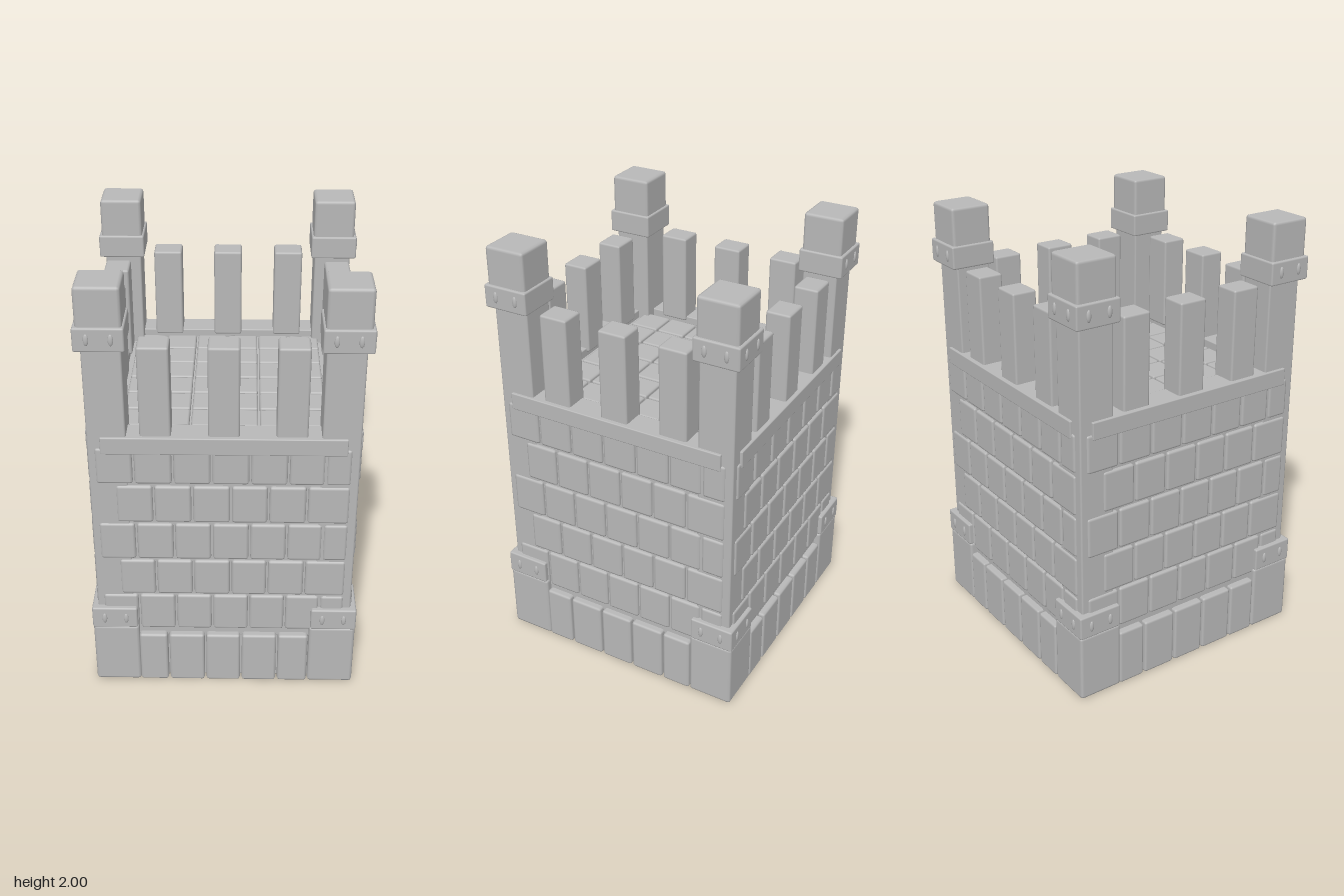
import * as THREE from 'three';
import { RoundedBoxGeometry } from 'three/addons/geometries/RoundedBoxGeometry.js';

const stone = new THREE.MeshStandardMaterial({ color: 0xb8b8b8 });
stone.name = 'grey stone';

// Softly bevelled block given by its minimum and maximum on each axis
function block(parent, name, [x0, x1], [y0, y1], [z0, z1], bevel = 0.01) {
  const w = x1 - x0, h = y1 - y0, d = z1 - z0;
  const r = Math.min(bevel, w * 0.45, h * 0.45, d * 0.45);
  const mesh = new THREE.Mesh(new RoundedBoxGeometry(w, h, d, 1, r), stone);
  mesh.position.set((x0 + x1) / 2, (y0 + y1) / 2, (z0 + z1) / 2);
  mesh.name = name;
  parent.add(mesh);
  return mesh;
}

// Row of stones between neighbouring joint positions
function course(parent, name, joints, [y0, y1], depth) {
  for (let i = 0; i < joints.length - 1; i++) {
    block(parent, name, [joints[i] + 0.004, joints[i + 1] - 0.004], [y0, y1], depth, 0.012);
  }
}

// Oval rivets on the two outer faces of a corner collar
function rivets(parent, y) {
  const geometry = new THREE.SphereGeometry(1, 12, 8);
  for (const t of [0.447, 0.545]) {
    for (const side of [0, 1]) {
      const rivet = new THREE.Mesh(geometry, stone);
      rivet.name = 'rivet';
      rivet.position.set(side ? 0.602 : t, y, side ? t : 0.602);
      rivet.scale.set(side ? 0.007 : 0.011, 0.026, side ? 0.011 : 0.007);
      parent.add(rivet);
    }
  }
}

// Corner post with foot, collars and cap
function cornerPost() {
  const g = new THREE.Group();
  g.name = 'cornerPost';
  const add = (name, a, b, y0, y1, bevel) => block(g, name, [a, b], [y0, y1], [a, b], bevel);
  add('footBlock', 0.39, 0.6, 0, 0.32, 0.014);
  add('lowerCollar', 0.395, 0.602, 0.315, 0.425, 0.008);
  add('postShaft', 0.41, 0.575, 0.3, 1.76, 0.008);
  add('upperCollar', 0.393, 0.602, 1.725, 1.83, 0.008);
  add('cap', 0.402, 0.59, 1.8, 2.0, 0.014);
  rivets(g, 0.37);
  rivets(g, 1.78);
  return g;
}

// One wall face with its stones, ledge and merlons, facing +z
function wall() {
  const g = new THREE.Group();
  g.name = 'wall';
  course(g, 'baseStone', [-0.395, -0.257, -0.087, 0.078, 0.245, 0.39], [0, 0.27], [0.5, 0.6]);

  const evenRow = [-0.549, -0.385, -0.218, -0.053, 0.112, 0.275, 0.432, 0.544];
  const oddRow = [-0.467, -0.303, -0.137, 0.03, 0.192, 0.358, 0.544];
  const rows = [[0.298, 0.49], [0.498, 0.685], [0.694, 0.882], [0.892, 1.078], [1.09, 1.265]];
  rows.forEach((y, i) => course(g, 'wallStone', i % 2 ? oddRow : evenRow, y, [0.53, 0.583]));

  block(g, 'ledge', [-0.52, 0.52], [1.24, 1.32], [0.465, 0.587], 0.005);
  for (const x of [-0.288, 0, 0.286]) {
    block(g, 'merlon', [x - 0.066, x + 0.066], [1.3, 1.73], [0.452, 0.567], 0.01);
  }
  return g;
}

export function createModel() {
  const model = new THREE.Group();
  model.name = 'stoneTower';

  // Solid core behind the stones
  block(model, 'baseCore', [-0.555, 0.555], [0, 0.285], [-0.555, 0.555], 0.004);
  block(model, 'wallCore', [-0.569, 0.569], [0.25, 1.28], [-0.569, 0.569], 0.004);

  // Four matching sides and corners
  for (let i = 0; i < 4; i++) {
    const side = new THREE.Group();
    side.name = 'side';
    side.add(wall(), cornerPost());
    side.rotation.y = i * Math.PI / 2;
    model.add(side);
  }

  // Paved floor at the top
  const floor = new THREE.Group();
  floor.name = 'floor';
  const step = 0.148;
  for (let i = 0; i < 6; i++) {
    for (let j = 0; j < 6; j++) {
      const x = (i - 3) * step, z = (j - 3) * step;
      block(floor, 'floorTile', [x + 0.004, x + step - 0.004], [1.25, 1.302],
        [z + 0.004, z + step - 0.004], 0.009);
    }
  }
  model.add(floor);
  return model;
}
